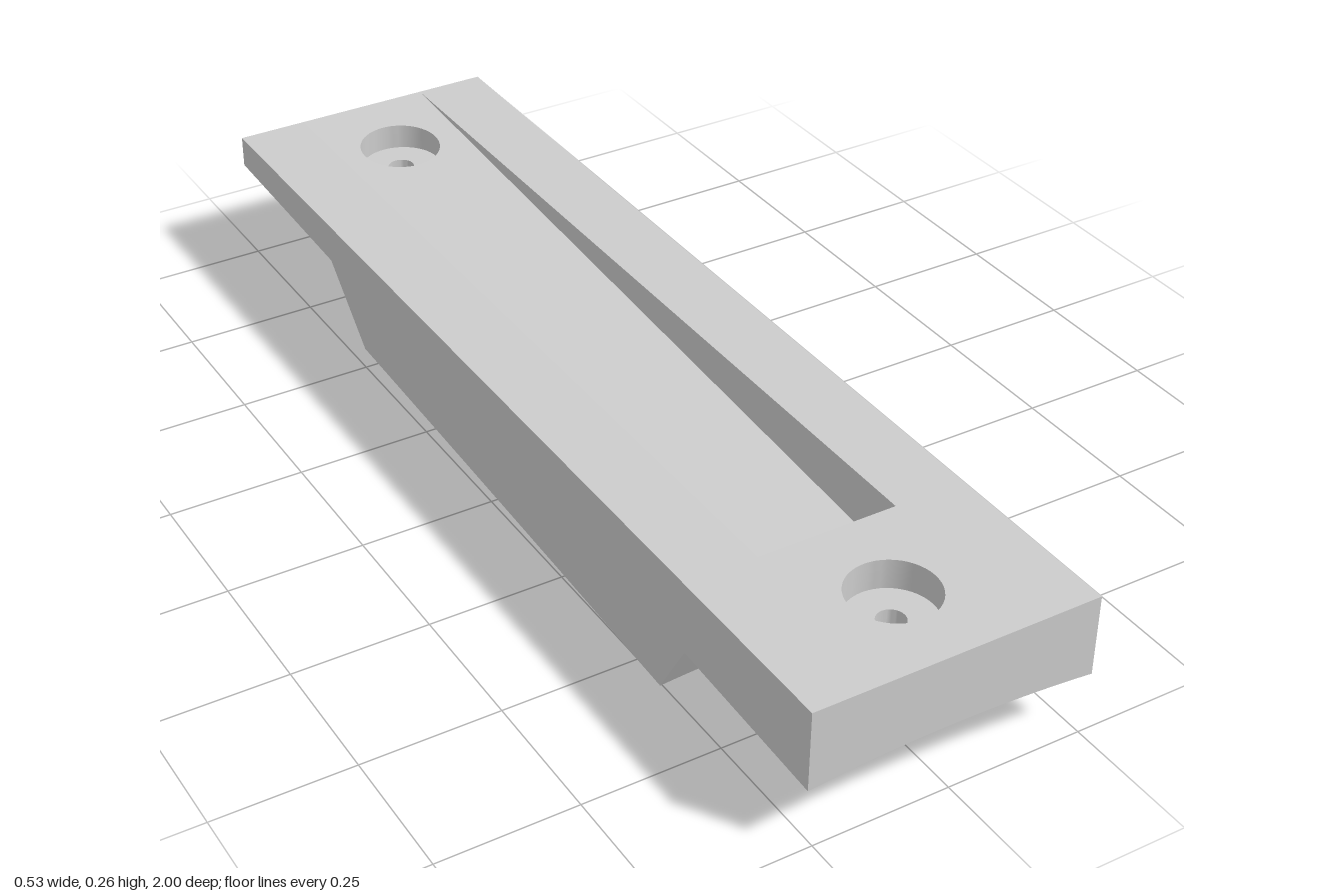
import * as THREE from 'three';
import { toCreasedNormals } from 'three/addons/utils/BufferGeometryUtils.js';

const W = 0.263, TOP = 0.265;              // half width, top height
const SLOT_W = 0.13, SLOT_Z = 0.655;       // slot half width, deep end
const HOLE_Z = 0.83, BORE_R = 0.078, HOLE_R = 0.025, STRIP = 0.06;
const BORE_Y = TOP - 0.055, PAD = 0.12;    // bore floor, pad thickness

// Underside zones along z: [z start, z end, drop at start, drop at end, segments]
const ZONES = [
  [1, 0.66, 0, 0, 3],
  [0.66, 0.59, 0, PAD, 1],
  [0.59, -0.47, PAD, PAD, 8],
  [-0.47, -0.6, PAD, 0, 1],
  [-0.6, -1, 0, 0, 3],
];

// Skewed cylindrical contact surface, and the heights of the other faces
const saddle = (x, z) => 0.1675 - 0.0375 * z - 0.21 * (x + 0.15 - 0.14 * z) ** 2;
const zoneY = ([z0, z1, d0, d1]) => (x, z) => saddle(x, z) - (d0 + (d1 - d0) * (z - z0) / (z1 - z0));
const under = (x, z) => zoneY(ZONES.find((s) => z >= s[1] - 1e-6) ?? ZONES[4])(x, z);
const ramp = (x, z) => TOP - 0.105 * (z + 1) / (1 + SLOT_Z);
const level = (y) => () => y;

// Lay a flat (x, z) geometry on the height function, facing up or down
function sheet(geo, height, up) {
  const p = geo.attributes.position, n = geo.attributes.normal, e = 1e-3, s = up ? 1 : -1;
  for (let i = 0; i < p.count; i++) {
    const x = p.getX(i), z = p.getY(i);
    const v = new THREE.Vector3(
      (height(x - e, z) - height(x + e, z)) / (2 * e), 1,
      (height(x, z - e) - height(x, z + e)) / (2 * e)).normalize().multiplyScalar(s);
    p.setXYZ(i, x, height(x, z), z);
    n.setXYZ(i, v.x, v.y, v.z);
  }
  if (up) geo.index.array.reverse();
  return geo;
}

// Vertical wall along a path of [x, z] points, between two height functions
function wall(path, top, bottom) {
  const pos = [];
  for (let i = 0; i + 1 < path.length; i++) {
    const [a, b] = [path[i], path[i + 1]];
    const at = ([x, z], f) => [x, f(x, z), z];
    const [a0, b0, a1, b1] = [at(a, bottom), at(b, bottom), at(a, top), at(b, top)];
    pos.push(...a0, ...b0, ...b1, ...a0, ...b1, ...a1);
  }
  const geo = new THREE.BufferGeometry();
  geo.setAttribute('position', new THREE.Float32BufferAttribute(pos, 3));
  return toCreasedNormals(geo, 0.5);
}

const circle = (cz, r, n = 48) => Array.from({ length: n + 1 }, (_, i) => {
  const t = (i % n) / n * Math.PI * 2;
  return [r * Math.cos(t), cz + r * Math.sin(t)];
});
const toPoints = (list) => list.map(([x, z]) => new THREE.Vector2(x, z));

// Flat outline, optionally pierced by a round hole
function outline(points, hole) {
  const shape = new THREE.Shape(toPoints(points));
  if (hole) shape.holes.push(new THREE.Path(toPoints(hole)));
  return new THREE.ShapeGeometry(shape);
}
const rect = (x0, x1, z0, z1) => [[x0, z0], [x1, z0], [x1, z1], [x0, z1]];
const grid = (x0, x1, z0, z1, nx, nz) =>
  new THREE.PlaneGeometry(x1 - x0, z1 - z0, nx, nz).translate((x0 + x1) / 2, (z0 + z1) / 2, 0);

export function createModel() {
  const group = new THREE.Group();
  const material = new THREE.MeshStandardMaterial({ color: 0xcccccc });
  const add = (name, geo) => {
    const mesh = new THREE.Mesh(geo, material);
    mesh.name = name;
    group.add(mesh);
  };

  // Top face, notched by the slot that runs out at the back edge
  add('topFace', sheet(outline([
    [-W, -1], [-SLOT_W, -1], [-SLOT_W, SLOT_Z], [SLOT_W, SLOT_Z],
    [SLOT_W, -1], [W, -1], [W, 1], [-W, 1],
  ], circle(HOLE_Z, BORE_R)), level(TOP), true));

  // Sloping slot floor and its three walls
  add('slotFloor', sheet(outline(rect(-SLOT_W, SLOT_W, -1, SLOT_Z), circle(-HOLE_Z, BORE_R)), ramp, true));
  add('slotWalls', wall(
    [[SLOT_W, -1], [SLOT_W, SLOT_Z], [-SLOT_W, SLOT_Z], [-SLOT_W, -1]], level(TOP), ramp));

  // Counterbored screw holes
  for (const [cz, rim] of [[HOLE_Z, level(TOP)], [-HOLE_Z, ramp]]) {
    add('counterboreWall', wall(circle(cz, BORE_R), rim, level(BORE_Y)));
    add('counterboreFloor', sheet(outline(circle(cz, BORE_R), circle(cz, HOLE_R)), level(BORE_Y), true));
    add('screwHole', wall(circle(cz, HOLE_R), level(BORE_Y), saddle));
  }

  // Underside: curved end flanges with holes, slopes and the thicker pad
  ZONES.forEach((zone, i) => {
    const [z1, z0, , , n] = zone, height = zoneY(zone);
    if (i === 0 || i === 4) {
      const cz = i === 0 ? HOLE_Z : -HOLE_Z;
      add('flangeUnderside', sheet(grid(-W, -STRIP, z0, z1, 8, n), height, false));
      add('flangeUnderside', sheet(grid(STRIP, W, z0, z1, 8, n), height, false));
      add('flangeUnderside', sheet(outline(rect(-STRIP, STRIP, z0, z1), circle(cz, HOLE_R)), height, false));
    } else {
      add(i === 2 ? 'padUnderside' : 'padSlope', sheet(grid(-W, W, z0, z1, 20, n), height, false));
    }
  });

  // Outer walls, following the underside round the perimeter
  const xs = Array.from({ length: 21 }, (_, i) => -W + 2 * W * i / 20);
  const zs = [1];
  for (const [z0, z1, , , n] of ZONES) for (let i = 1; i <= n; i++) zs.push(z0 + (z1 - z0) * i / n);
  add('frontEnd', wall(xs.map((x) => [x, 1]), level(TOP), under));
  add('leftSide', wall(zs.map((z) => [W, z]), level(TOP), under));
  add('backEnd', wall([...xs].reverse().map((x) => [x, -1]), level(TOP), under));
  add('rightSide', wall([...zs].reverse().map((z) => [-W, z]), level(TOP), under));

  return group;
}
